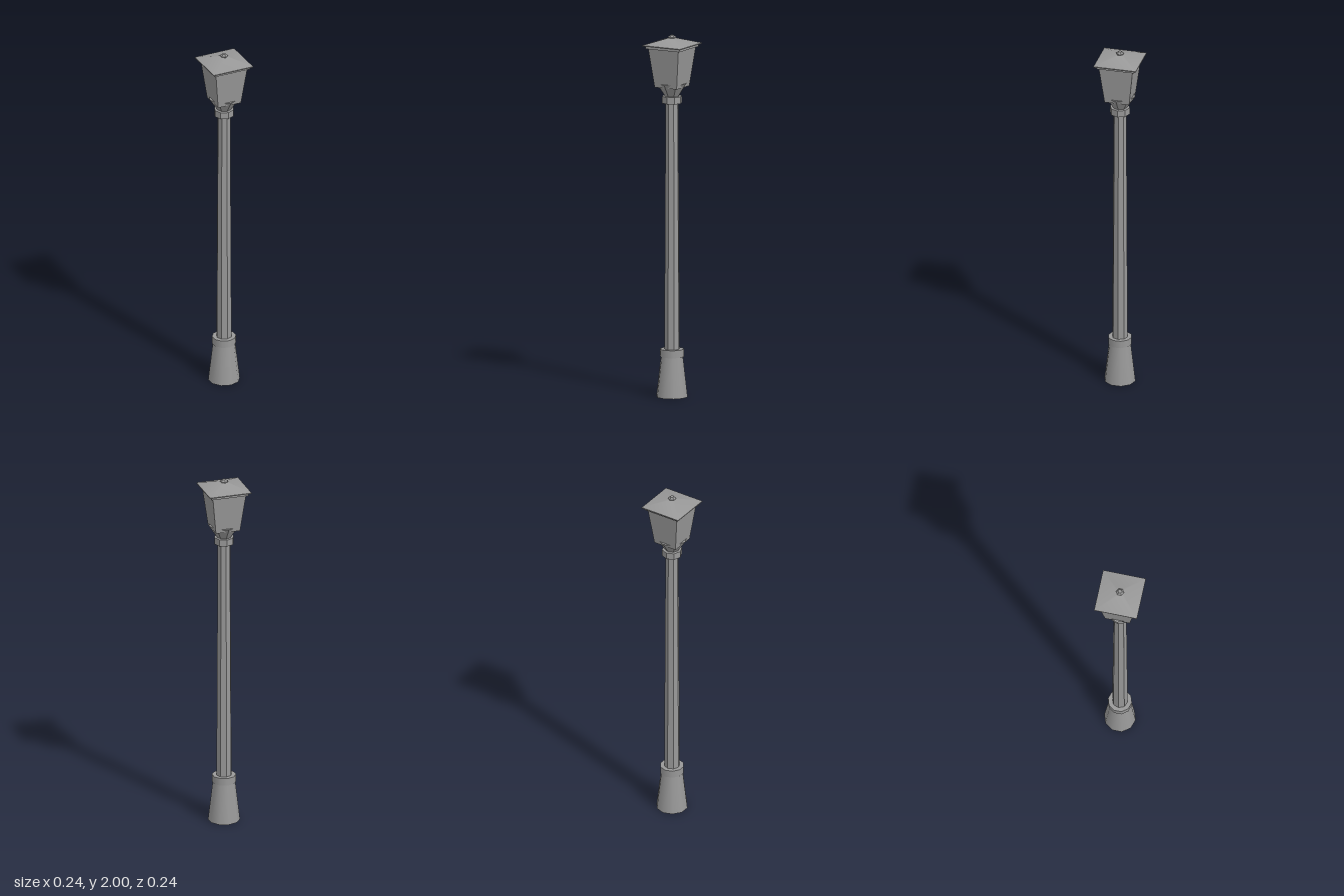
import * as THREE from 'three';

const iron = new THREE.MeshStandardMaterial({ color: 0x999999 });
iron.name = 'grey iron';

// Tapered prism between two heights; square ones are turned so their sides face the axes
function prism(name, sides, y0, y1, r0, r1, smooth = false) {
  const square = sides === 4;
  const k = square ? Math.SQRT2 : 1; // square sizes are given as half widths
  let geo = new THREE.CylinderGeometry(r1 * k, r0 * k, y1 - y0, sides);
  if (square) geo.rotateY(Math.PI / 4);
  geo.translate(0, (y0 + y1) / 2, 0);
  if (!smooth) {
    geo = geo.toNonIndexed();
    geo.computeVertexNormals();
  }
  const mesh = new THREE.Mesh(geo, iron);
  mesh.name = name;
  return mesh;
}

export function createModel() {
  const lamp = new THREE.Group();
  lamp.name = 'streetLamp';

  // Foot and post
  lamp.add(
    prism('base', 10, 0, 0.225, 0.087, 0.061, true),
    prism('baseCollar', 10, 0.222, 0.264, 0.066, 0.066, true),
    prism('post', 8, 0.26, 1.63, 0.043, 0.036),
    prism('topCollar', 8, 1.625, 1.663, 0.055, 0.055)
  );

  // Lantern head
  const head = new THREE.Group();
  head.name = 'lanternHead';
  head.add(
    prism('cup', 8, 1.66, 1.735, 0.037, 0.086),
    prism('lanternBody', 4, 1.715, 1.932, 0.069, 0.095),
    prism('roofRim', 4, 1.93, 1.946, 0.105, 0.105),
    prism('eave', 4, 1.945, 1.95, 0.119, 0.119),
    prism('roof', 4, 1.95, 1.987, 0.119, 0.008, true),
    prism('finialBase', 6, 1.975, 1.989, 0.016, 0.022),
    prism('finialTop', 6, 1.989, 2, 0.022, 0.011)
  );
  lamp.add(head);
  return lamp;
}
